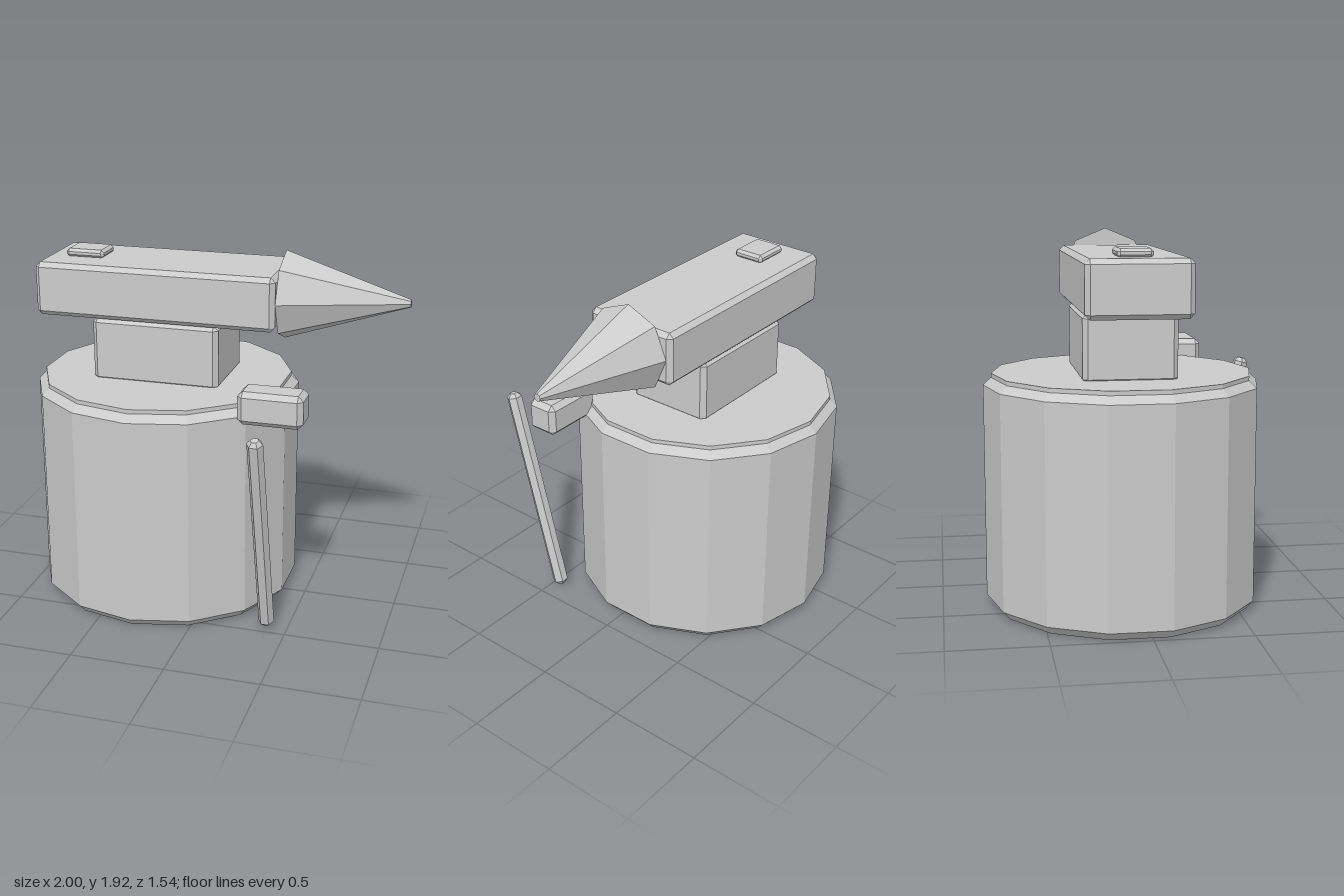
import * as THREE from 'three';
import { ConvexGeometry } from 'three/addons/geometries/ConvexGeometry.js';

const material = new THREE.MeshStandardMaterial({ color: 0xcccccc, flatShading: true, side: THREE.FrontSide });

function part(name, geometry, x, y, z) {
  const mesh = new THREE.Mesh(geometry, material);
  mesh.name = name;
  mesh.position.set(x, y, z);
  return mesh;
}

// Box with chamfered edges: every corner becomes three points
function chamferBox(w, h, d, c) {
  const half = [w / 2, h / 2, d / 2];
  const points = [];
  for (const sx of [-1, 1]) for (const sy of [-1, 1]) for (const sz of [-1, 1]) {
    const sign = [sx, sy, sz];
    for (let full = 0; full < 3; full++) {
      points.push(new THREE.Vector3(...half.map((s, i) => sign[i] * (i === full ? s : s - c))));
    }
  }
  return new ConvexGeometry(points);
}

// Faceted solid of revolution from [radius, height] pairs, bottom to top
function turned(profile, sides, start = 0) {
  return new THREE.LatheGeometry(profile.map(([r, y]) => new THREE.Vector2(r, y)), sides, start);
}

export function createModel() {
  const group = new THREE.Group();
  group.name = 'anvilOnStump';
  const zMid = -0.06;

  // Round stump with chamfered rims and a thin raised top
  const stump = [[0, 0], [0.672, 0], [0.7125, 0.045], [0.7125, 1.155], [0.672, 1.193], [0.672, 1.215], [0, 1.215]];
  group.add(part('stump', turned(stump, 14), -0.305, 0, zMid));

  // Anvil: waist, body, horn and the small plate on the face
  group.add(part('anvilWaist', chamferBox(0.69, 0.35, 0.475, 0.025), -0.305, 1.37, zMid));
  group.add(part('anvilBody', chamferBox(1.3, 0.285, 0.52, 0.025), -0.305, 1.685, zMid));
  const horn = part('anvilHorn', new THREE.CylinderGeometry(0.02, 0.235, 0.655, 8), 0.6725, 1.685, zMid);
  horn.rotation.z = -Math.PI / 2;
  group.add(horn);
  group.add(part('facePlate', chamferBox(0.21, 0.045, 0.175, 0.015), -0.74, 1.846, -0.067));

  // Hammer: head at the stump rim and a leaning six-sided handle
  group.add(part('hammerHead', chamferBox(0.34, 0.175, 0.175, 0.027), 0.39, 1.2175, 0.3725));
  const length = 1.187;
  const rod = [[0, 0], [0.022, 0], [0.042, 0.022], [0.042, length - 0.022], [0.022, length], [0, length]];
  const handle = part('hammerHandle', turned(rod, 6, Math.PI / 2), 0.39, 0.022, 0.444);
  handle.rotation.x = 0.25;
  group.add(handle);

  return group;
}
